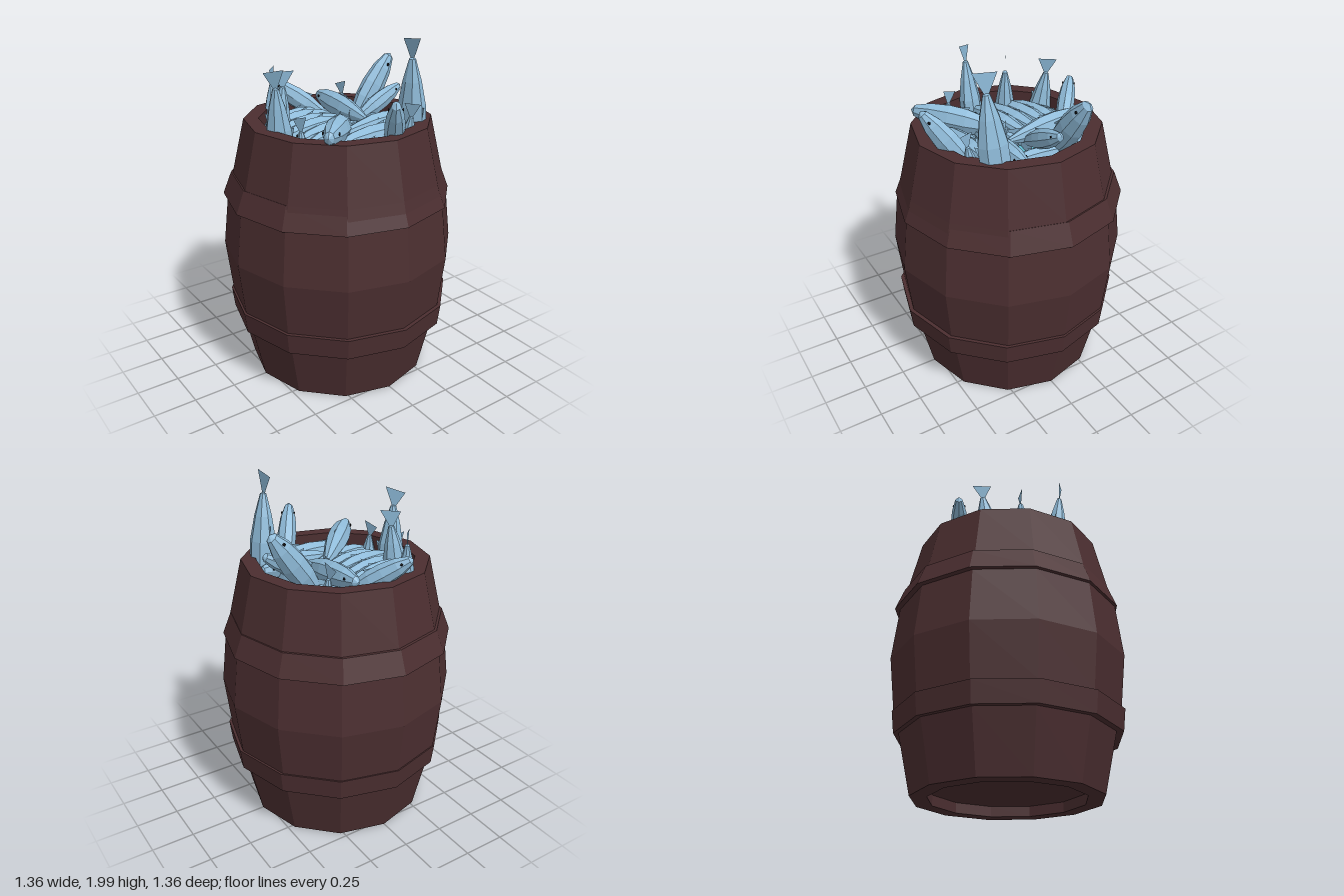
import * as THREE from 'three';

const mat = (name, color, side = THREE.FrontSide) => {
  const m = new THREE.MeshStandardMaterial({ color, flatShading: true, side });
  m.name = name;
  return m;
};

const lathe = (points, sides) =>
  new THREE.LatheGeometry(points.map(([r, y]) => new THREE.Vector2(r, y)), sides);

// Flat fin in the fish's own y-z plane, outlined by [z, y] corners
function fin(points) {
  const g = new THREE.ShapeGeometry(new THREE.Shape(points.map(([z, y]) => new THREE.Vector2(z, y))));
  return g.rotateY(-Math.PI / 2);
}

export function createModel() {
  const wood = mat('brown wood', 0x4b2e30);
  const skin = mat('fish blue', 0x8fbbd9);
  const finSkin = mat('fin blue', 0x8ab6d4, THREE.DoubleSide);
  const water = mat('water teal', 0x62bdd0);
  const black = mat('eye black', 0x0c0c10);

  const model = new THREE.Group();
  const add = (parent, name, geometry, material) => {
    const mesh = new THREE.Mesh(geometry, material);
    mesh.name = name;
    parent.add(mesh);
    return mesh;
  };

  // Barrel body with recessed base and flat rim
  add(model, 'barrel', lathe([
    [0, 0.06], [0.44, 0.06], [0.44, 0], [0.535, 0], [0.61, 0.335], [0.645, 0.46], [0.68, 0.77],
    [0.645, 1.08], [0.61, 1.21], [0.535, 1.53], [0.45, 1.53], [0.45, 1.38],
  ], 12), wood);

  // Hoops, slightly off-centre
  const upper = add(model, 'upperHoop', lathe([
    [0.58, 1.08], [0.665, 1.08], [0.615, 1.21], [0.56, 1.21],
  ], 12), wood);
  upper.position.z = -0.012;
  const lower = add(model, 'lowerHoop', lathe([
    [0.58, 0.335], [0.645, 0.335], [0.66, 0.46], [0.6, 0.46],
  ], 12), wood);
  lower.position.z = 0.008;

  // Water surface
  const surface = add(model, 'water', new THREE.CircleGeometry(0.45, 12).rotateX(-Math.PI / 2), water);
  surface.position.y = 1.43;

  // Unit fish: tail root at y = 0, snout at y = 1, back towards +z
  const bodyGeo = lathe([
    [0, 0], [0.032, 0.01], [0.09, 0.2], [0.135, 0.42], [0.14, 0.6], [0.115, 0.8], [0.06, 0.96], [0, 1],
  ], 8).scale(0.82, 1, 1);
  const tailGeo = fin([[0, 0.05], [-0.12, -0.14], [0.1, -0.185]]);
  const backFinGeo = fin([[0.12, 0.58], [0.165, 0.4], [0.12, 0.42]]);
  const bellyFinGeo = fin([[-0.11, 0.42], [-0.14, 0.27], [-0.09, 0.3]]);
  const sideFinGeo = fin([[0, 0.7], [-0.035, 0.54], [0.02, 0.57]]);
  const eyeGeo = new THREE.SphereGeometry(0.018, 6, 4).scale(0.5, 1, 1);

  // Fish from tail root to snout; hint is the direction its back faces
  function addFish(tail, head, hint = [0, 1, 0]) {
    const start = new THREE.Vector3(...tail);
    const y = new THREE.Vector3(...head).sub(start);
    const length = y.length();
    y.normalize();
    const x = new THREE.Vector3().crossVectors(y, new THREE.Vector3(...hint)).normalize();
    const z = new THREE.Vector3().crossVectors(x, y);
    const fish = new THREE.Group();
    fish.name = 'fish';
    add(fish, 'fishBody', bodyGeo, skin);
    add(fish, 'tailFin', tailGeo, finSkin);
    add(fish, 'backFin', backFinGeo, finSkin);
    add(fish, 'bellyFin', bellyFinGeo, finSkin);
    for (const s of [-1, 1]) {
      const side = add(fish, 'sideFin', sideFinGeo, finSkin);
      side.position.x = s * 0.112;
      side.rotation.z = s * 0.06;
      add(fish, 'eye', eyeGeo, black).position.set(s * 0.076, 0.86, 0.025);
    }
    fish.quaternion.setFromRotationMatrix(new THREE.Matrix4().makeBasis(x, y, z));
    fish.position.copy(start);
    fish.scale.setScalar(length);
    model.add(fish);
  }

  // Fish diving in, tails up
  addFish([0.29, 1.88, 0.29], [0.35, 1.24, 0.24], [0, 0, 1]);
  addFish([-0.42, 1.76, 0.03], [-0.37, 1.22, 0.0], [0.6, 0, 0.8]);
  addFish([-0.27, 1.71, -0.15], [-0.33, 1.2, -0.18], [0.8, 0, 0.5]);
  addFish([-0.2, 1.68, -0.39], [-0.24, 1.2, -0.33], [0.7, 0, -0.7]);
  addFish([-0.36, 1.55, 0.18], [-0.36, 1.12, 0.22], [0.3, 0, 1]);
  addFish([0.23, 1.58, 0.37], [0.22, 1.15, 0.3], [0.4, 0, 0.9]);
  addFish([0.25, 1.56, -0.32], [0.27, 1.15, -0.27], [0.2, 0, 1]);

  // Fish leaning out, heads up
  addFish([0.19, 1.34, 0.27], [0.0, 1.72, 0.52]);
  addFish([0.18, 1.36, -0.16], [0.51, 1.8, -0.18], [-1, 0.5, 0.2]);
  addFish([0.12, 1.46, -0.03], [0.48, 1.64, -0.04]);
  addFish([0.14, 1.42, -0.27], [-0.14, 1.65, -0.52]);

  // Fish lying across the top
  addFish([0.05, 1.5, 0.02], [-0.35, 1.57, 0.42]);
  addFish([0.15, 1.5, 0.08], [0.14, 1.55, -0.43]);
  addFish([-0.08, 1.48, 0.16], [0.42, 1.49, 0.12]);
  addFish([0.36, 1.46, 0.24], [-0.22, 1.46, 0.3]);
  addFish([0.18, 1.43, 0.34], [-0.29, 1.44, 0.39]);
  addFish([0.28, 1.44, 0.2], [0.29, 1.44, -0.2]);
  addFish([0.12, 1.43, -0.1], [0.34, 1.45, -0.3]);

  // Row of parallel fish at the water line
  for (let i = 0; i < 6; i++) {
    const z = -0.25 + i * 0.085;
    const headX = -0.4 + 0.05 * Math.abs(i - 2) / 2;
    addFish([0.14, 1.46, z - 0.1], [headX, 1.45 + 0.015 * (i % 2), z + 0.01]);
  }
  addFish([0.1, 1.44, -0.4], [-0.3, 1.44, -0.31]);

  return model;
}
